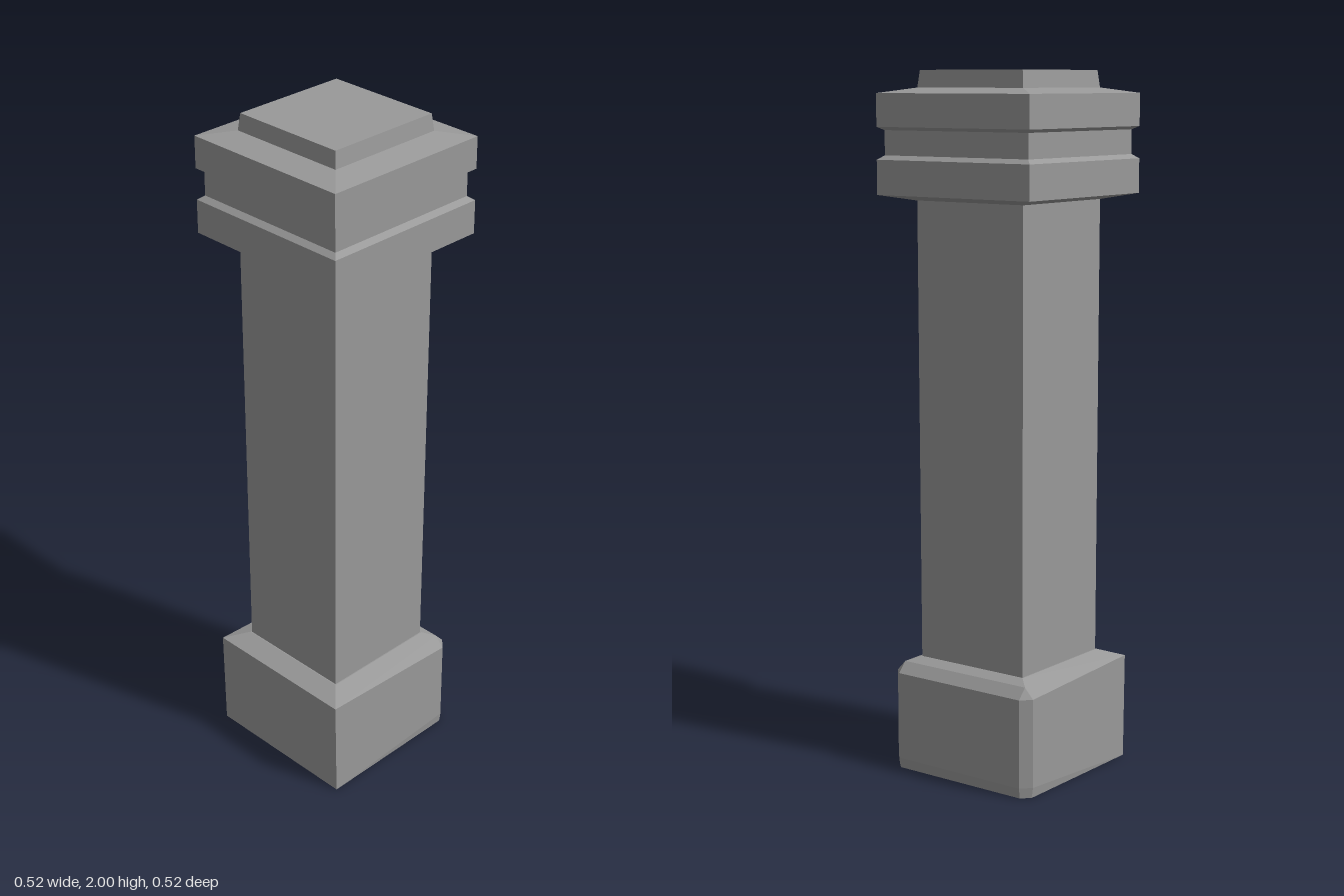
import * as THREE from 'three';
import { ConvexGeometry } from 'three/addons/geometries/ConvexGeometry.js';

// Square section lofted through [y, half width] levels, closed at the ends
function squareLoft(levels) {
  const corners = [[1, 1], [1, -1], [-1, -1], [-1, 1]];
  const pos = [];
  const at = ([y, h], i) => [corners[i % 4][0] * h, y, corners[i % 4][1] * h];
  const quad = (a, b, c, d) => pos.push(...a, ...b, ...c, ...a, ...c, ...d);
  for (let l = 0; l < levels.length - 1; l++) {
    const lo = levels[l], hi = levels[l + 1];
    for (let i = 0; i < 4; i++) quad(at(lo, i), at(lo, i + 1), at(hi, i + 1), at(hi, i));
  }
  const first = levels[0], last = levels[levels.length - 1];
  quad(at(last, 0), at(last, 1), at(last, 2), at(last, 3));
  quad(at(first, 3), at(first, 2), at(first, 1), at(first, 0));
  const geo = new THREE.BufferGeometry();
  geo.setAttribute('position', new THREE.Float32BufferAttribute(pos, 3));
  geo.computeVertexNormals();
  return geo;
}

// Plinth block: sharp corners on one side, worn chamfered corners on the other
function plinthGeometry() {
  const h = 0.243, c = 0.028, pts = [];
  const add = (x, y, z) => pts.push(new THREE.Vector3(x, y, z));
  for (const s of [1, -1]) {
    add(-0.238, 0, s * h);
    add(-h, 0.305, s * h);
    add(h - 0.004, 0, s * (h - c));
    add(h - c, 0, s * (h - 0.004));
    for (const y of [0.03, 0.285]) {
      add(h, y, s * (h - c));
      add(h - c, y, s * h);
    }
    add(h - c, 0.315, s * (h - c));
    add(0.183, 0.328, s * 0.183);
    add(-0.183, 0.328, s * 0.183);
  }
  return new ConvexGeometry(pts);
}

export function createModel() {
  const model = new THREE.Group();
  model.name = 'pillar';
  const stone = new THREE.MeshStandardMaterial({ color: 0x999999, flatShading: true });
  stone.name = 'grey stone';

  const add = (name, geometry) => {
    const mesh = new THREE.Mesh(geometry, stone);
    mesh.name = name;
    model.add(mesh);
  };

  add('plinth', plinthGeometry());
  add('shaft', squareLoft([[0.32, 0.18], [1.65, 0.183]]));
  // Two projecting bands with a recessed neck between them
  add('capital', squareLoft([
    [1.642, 0.185], [1.658, 0.262], [1.755, 0.262], [1.767, 0.246],
    [1.836, 0.246], [1.845, 0.262], [1.937, 0.262], [1.952, 0.181],
  ]));
  add('topBlock', squareLoft([[1.945, 0.182], [2, 0.176]]));
  return model;
}
